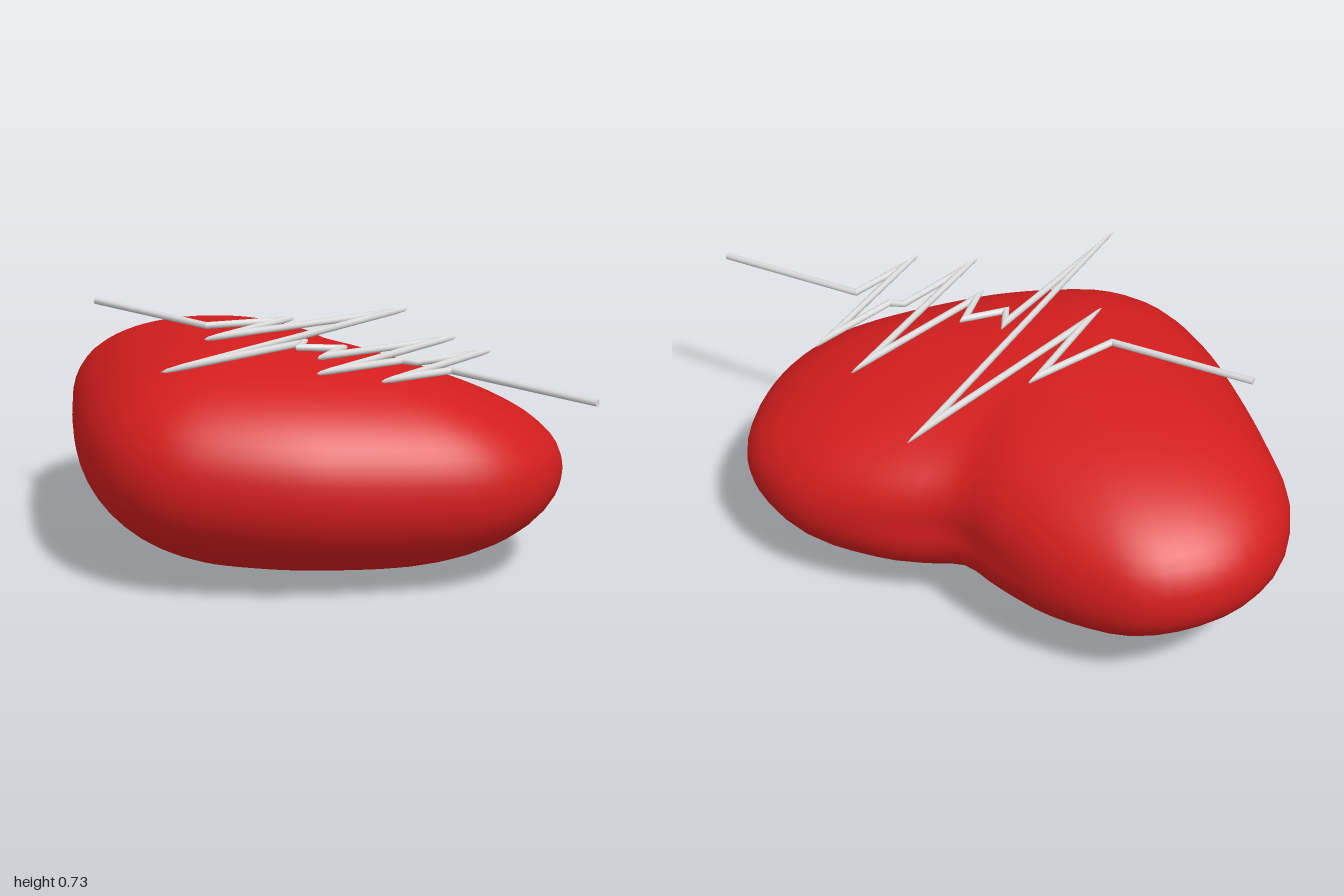
import * as THREE from 'three';

const red = new THREE.MeshStandardMaterial({ color: 0xd41d1d });
red.name = 'heart red';
const grey = new THREE.MeshStandardMaterial({ color: 0xdadada });
grey.name = 'line grey';

function build(positions, index) {
  const g = new THREE.BufferGeometry();
  g.setAttribute('position', new THREE.Float32BufferAttribute(positions, 3));
  g.setIndex(index);
  g.computeVertexNormals();
  return g;
}

// Puffy heart: the outline shrinks towards a centre as the rings climb an oval
function heartGeometry() {
  const outline = [
    [-0.13, -0.515], [0, -0.565], [0.13, -0.61], [0.35, -0.63], [0.48, -0.59], [0.6, -0.51],
    [0.68, -0.38], [0.72, -0.2], [0.68, -0.02], [0.59, 0.115], [0.46, 0.265], [0.33, 0.395],
    [0.2, 0.49], [0.09, 0.555], [-0.02, 0.605], [-0.13, 0.62], [-0.24, 0.605], [-0.36, 0.55],
    [-0.5, 0.45], [-0.66, 0.3], [-0.82, 0.13], [-0.95, -0.03], [-1, -0.2], [-0.97, -0.38],
    [-0.88, -0.51], [-0.77, -0.59], [-0.65, -0.615], [-0.48, -0.615], [-0.3, -0.57],
  ].map(([x, z]) => new THREE.Vector3(x, 0, z));
  const n = 72, rings = 32, cx = -0.13, power = 2 / 2.15;
  const pts = new THREE.CatmullRomCurve3(outline, true).getSpacedPoints(n).slice(0, n);
  const { smoothstep } = THREE.MathUtils;
  const pos = [], idx = [];
  for (let k = 0; k <= rings; k++) {
    const a = (k / rings - 0.5) * Math.PI;
    const s = Math.pow(Math.max(0, Math.cos(a)), power);
    const h = Math.sign(a) * Math.pow(Math.abs(Math.sin(a)), power);
    for (const p of pts) {
      const u = p.x - cx;
      const notch = Math.exp(-u * u / 0.06);
      // The notch fills up a little away from mid height
      const fill = p.z < 0 ? 0.06 * notch * Math.abs(h) : 0;
      const x = u * s, z = (p.z - fill) * s;
      // Towards the back the top falls on the left lobe and the underside rises
      const back = smoothstep(-z, 0.05, 0.45);
      const squeeze = h > 0
        ? 0.055 * smoothstep(x, -0.15, 0.15)
        : 0.03 + 0.04 * notch;
      pos.push(cx + x, 0.345 + h * (0.343 - squeeze * back) - 0.035 * x + 0.035 * z, z);
    }
  }
  for (let k = 0; k < rings; k++) {
    for (let j = 0; j < n; j++) {
      const j2 = (j + 1) % n;
      const a = k * n + j, b = a + n, c = (k + 1) * n + j2, e = k * n + j2;
      idx.push(a, b, c, a, c, e);
    }
  }
  return build(pos, idx);
}

// Mitre vector at each corner, pointing to the left of the path
function mitres(path, r, limit) {
  const side = (a, b) => {
    const d = b.clone().sub(a).normalize();
    return new THREE.Vector2(d.y, -d.x);
  };
  const last = path.length - 1;
  return path.map((p, i) => {
    const n1 = side(path[Math.max(i - 1, 0)], path[Math.max(i, 1)]);
    const n2 = side(path[Math.min(i, last - 1)], path[Math.min(i + 1, last)]);
    const m = n1.clone().add(n2).normalize();
    return m.multiplyScalar(Math.min(limit, r / Math.max(m.dot(n1), 0.001)));
  });
}

// Round line with sharp mitred corners, lying on a gently tilted plane
function pulseGeometry() {
  const r = 0.0105, limit = 0.14, sides = 10;
  // Outer tips of the corners in x, z
  const tips = [
    [-0.765, 0.067], [-0.305, 0.08], [-0.198, -0.22], [-0.198, 0.22], [-0.043, -0.62],
    [-0.022, 0.625], [0.014, -0.01], [0.051, 0.1], [0.146, -0.03], [0.169, 0.15],
    [0.287, -0.4], [0.281, 0.305], [0.34, -0.025], [0.401, -0.025], [0.458, -0.33],
    [0.458, 0.24], [0.508, -0.037], [1, -0.022],
  ].map(([x, z]) => new THREE.Vector2(x, z));
  // Pull every corner inwards, in a few passes, so that its mitre ends at the tip
  let path = tips;
  for (let pass = 0; pass < 12; pass++) {
    const pull = mitres(path, r, limit);
    path = tips.map((p, i) => {
      if (i === 0 || i === tips.length - 1) return p;
      const turn = p.clone().sub(tips[i - 1]).cross(tips[i + 1].clone().sub(p));
      return p.clone().addScaledVector(pull[i], turn > 0 ? -1 : 1);
    });
  }
  const m = mitres(path, r, limit);
  const pos = [], idx = [];
  const ring = (i) => {
    const start = pos.length / 3;
    for (let k = 0; k < sides; k++) {
      const a = (k / sides) * Math.PI * 2;
      const x = path[i].x + m[i].x * Math.cos(a), z = path[i].y + m[i].y * Math.cos(a);
      pos.push(x, 0.69 - 0.041 * x + 0.031 * z + r * Math.sin(a), z);
    }
    return start;
  };
  for (let i = 0; i < path.length - 1; i++) {
    const s = ring(i), t = ring(i + 1);
    for (let k = 0; k < sides; k++) {
      const k2 = (k + 1) % sides;
      idx.push(s + k, s + k2, t + k2, s + k, t + k2, t + k);
    }
  }
  // End caps
  const first = ring(0), last = ring(path.length - 1);
  for (let k = 1; k < sides - 1; k++) {
    idx.push(first, first + k + 1, first + k, last, last + k, last + k + 1);
  }
  return build(pos, idx);
}

export function createModel() {
  const model = new THREE.Group();
  model.name = 'heartWithPulse';
  const heart = new THREE.Mesh(heartGeometry(), red);
  heart.name = 'heart';
  const pulse = new THREE.Mesh(pulseGeometry(), grey);
  pulse.name = 'pulseLine';
  model.add(heart, pulse);
  return model;
}
